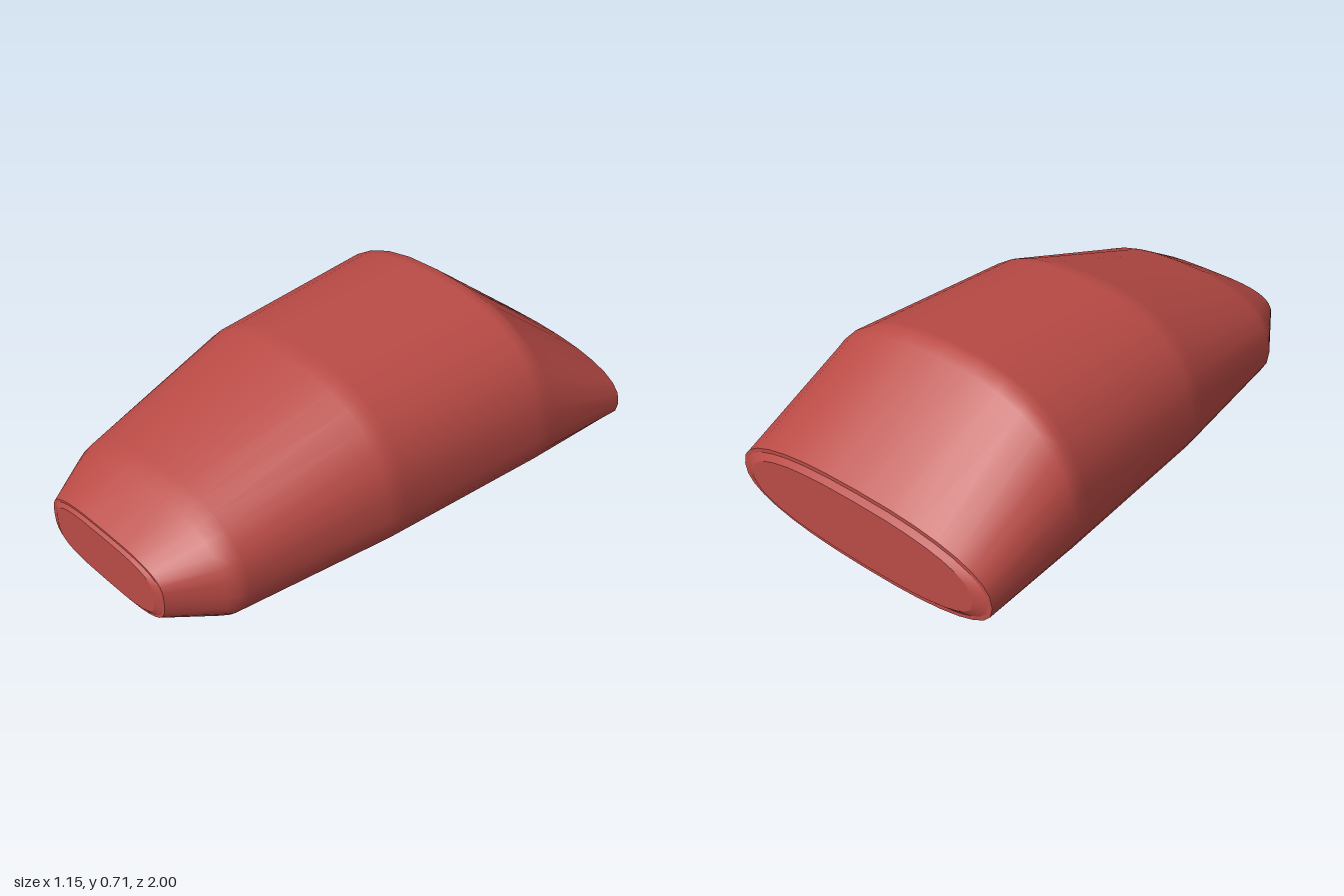
import * as THREE from 'three';
import { toCreasedNormals } from 'three/addons/utils/BufferGeometryUtils.js';

const SEGMENTS = 32;

// Rounded cross-section: z, half width, bottom y, top y, y of widest point, squareness
function ringPoints([z, w, y0, y1, yc, n]) {
  const points = [];
  for (let j = 0; j < SEGMENTS; j++) {
    const a = (j / SEGMENTS) * Math.PI * 2;
    const c = Math.cos(a), s = Math.sin(a);
    const x = Math.sign(c) * w * Math.abs(c) ** (2 / n);
    const y = yc + Math.sign(s) * (s > 0 ? y1 - yc : yc - y0) * Math.abs(s) ** (2 / n);
    points.push(x, y, z);
  }
  return points;
}

// Skin through cross-sections given from back to front
function loft(sections) {
  const index = [];
  for (let i = 0; i < sections.length - 1; i++) {
    for (let j = 0; j < SEGMENTS; j++) {
      const k = (j + 1) % SEGMENTS;
      const a = i * SEGMENTS + j, b = i * SEGMENTS + k;
      index.push(a, b, b + SEGMENTS, a, b + SEGMENTS, a + SEGMENTS);
    }
  }
  const geometry = new THREE.BufferGeometry();
  geometry.setAttribute('position', new THREE.Float32BufferAttribute(sections.flatMap(ringPoints), 3));
  geometry.setIndex(index);
  geometry.computeVertexNormals();
  return geometry;
}

// Extra sections beside each bend keep the shading change narrow
function tightenBends(sections, d) {
  const result = [sections[0]];
  for (let i = 1; i < sections.length; i++) {
    const a = sections[i - 1], b = sections[i];
    const mix = (t) => a.map((v, k) => v + (b[k] - v) * t);
    const t = d / (b[0] - a[0]);
    if (i > 1) result.push(mix(t));
    if (i < sections.length - 1) result.push(mix(1 - t));
    result.push(b);
  }
  return result;
}

export function createModel() {
  const group = new THREE.Group();
  const material = new THREE.MeshStandardMaterial({ color: 0xb94a45 });
  const add = (name, geometry) => {
    const mesh = new THREE.Mesh(geometry, material);
    mesh.name = name;
    group.add(mesh);
  };

  // Main shell
  const back = [-0.982, 0.575, 0.045, 0.37, 0.2, 2.4];
  const front = [0.988, 0.315, 0.09, 0.318, 0.21, 3.2];
  add('shell', loft(tightenBends([
    back,
    [-0.55, 0.575, 0, 0.71, 0.25, 2.4],
    [0.16, 0.533, 0, 0.668, 0.24, 2.4],
    [0.78, 0.443, 0, 0.445, 0.2, 2.4],
    front,
  ], 0.035)));

  // Bevelled end caps
  add('backCap', toCreasedNormals(loft([
    [-1, 0, 0.2, 0.2, 0.2, 2.4],
    [-1, 0.51, 0.08, 0.335, 0.2, 2.5],
    [-0.982, 0.558, 0.06, 0.355, 0.2, 2.4],
    back,
  ]), 0.35));
  add('frontCap', toCreasedNormals(loft([
    front,
    [0.988, 0.305, 0.096, 0.31, 0.21, 3.2],
    [1, 0.275, 0.11, 0.3, 0.21, 3.4],
    [1, 0, 0.21, 0.21, 0.21, 3.4],
  ]), 0.35));

  return group;
}
